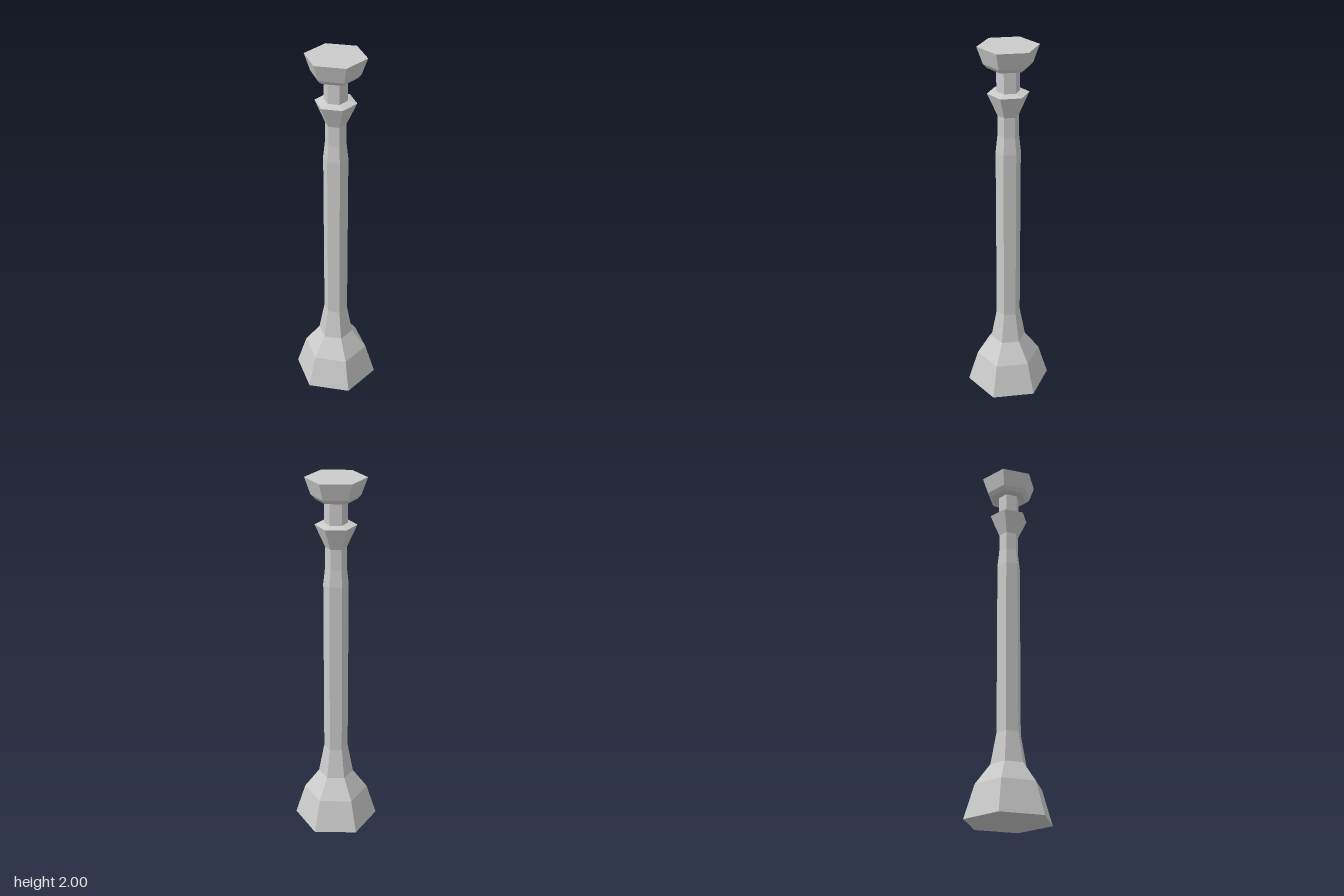
import * as THREE from 'three';

const material = new THREE.MeshStandardMaterial({ color: 0xcccccc, flatShading: true });

// Six-sided turned section from [radius, height] pairs, listed bottom to top
function turned(name, profile) {
  const points = profile.map(([r, y]) => new THREE.Vector2(r, y));
  const mesh = new THREE.Mesh(new THREE.LatheGeometry(points, 6), material);
  mesh.name = name;
  return mesh;
}

export function createModel() {
  const group = new THREE.Group();
  group.name = 'column';
  group.add(
    // Flared foot with a closed underside
    turned('base', [[0, 0], [0.233, 0], [0.178, 0.18], [0.097, 0.29], [0.066, 0.46]]),
    // Long shaft, narrowing near the top
    turned('shaft', [[0.066, 0.46], [0.066, 1.44], [0.056, 1.53], [0.055, 1.64]]),
    // Flared ring with a slightly sloped top
    turned('collar', [[0.055, 1.64], [0.108, 1.758], [0.06, 1.768]]),
    turned('neck', [[0.06, 1.768], [0.06, 1.89]]),
    // Head with a chamfered lower rim and flat top
    turned('capital', [[0.06, 1.89], [0.105, 1.89], [0.126, 1.912], [0.157, 2], [0, 2]])
  );
  return group;
}
